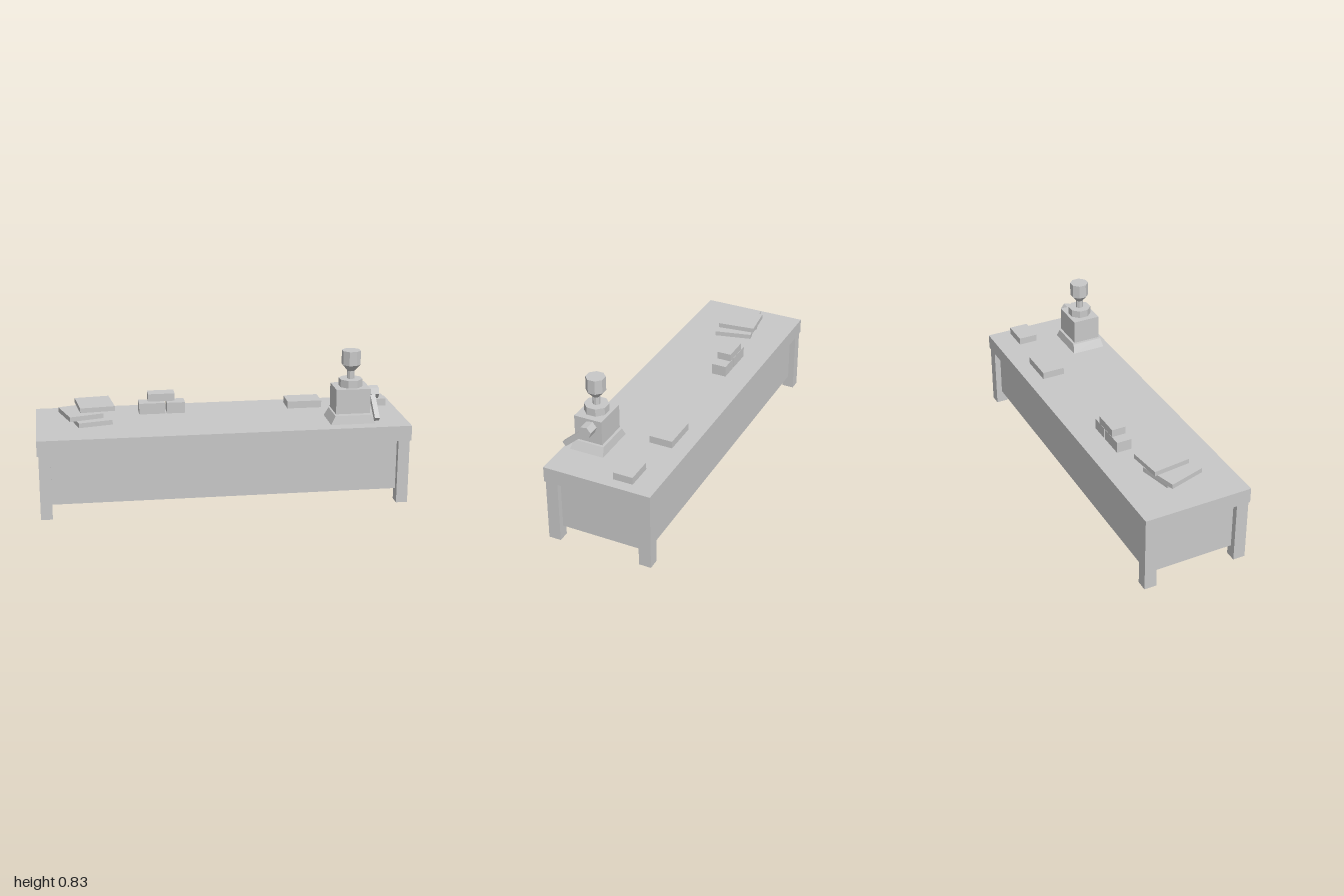
import * as THREE from 'three';

export function createModel() {
  const model = new THREE.Group();
  const grey = new THREE.MeshStandardMaterial({ color: 0xc8c8c8 });
  grey.name = 'plain grey';

  const add = (name, geometry, parent = model) => {
    const mesh = new THREE.Mesh(geometry, grey);
    mesh.name = name;
    parent.add(mesh);
    return mesh;
  };
  // Box given by its limits on each axis
  const block = (name, [x0, x1], [y0, y1], [z0, z1], parent) => {
    const mesh = add(name, new THREE.BoxGeometry(x1 - x0, y1 - y0, z1 - z0), parent);
    mesh.position.set((x0 + x1) / 2, (y0 + y1) / 2, (z0 + z1) / 2);
    return mesh;
  };
  const group = (name) => {
    const g = new THREE.Group();
    g.name = name;
    model.add(g);
    return g;
  };

  // Counter: top, closed cabinet reaching the middle of four corner legs
  block('tabletop', [-1, 1], [0.353, 0.437], [-0.297, 0.297]);
  block('cabinet', [-0.96, 0.96], [0.071, 0.353], [-0.259, 0.259]);
  for (const sx of [-1, 1]) {
    for (const sz of [-1, 1]) {
      const leg = add('leg', new THREE.BoxGeometry(0.062, 0.353, 0.067));
      leg.position.set(sx * 0.961, 0.1765, sz * 0.259);
    }
  }

  // Loose stack of sheets, each turned a little: x, bottom y, z, turn
  const stack = group('sheetStack');
  for (const [x, y, z, turn] of [
    [-0.706, 0.445, 0, 0.23],
    [-0.758, 0.479, -0.009, 0.28],
    [-0.681, 0.513, -0.041, 0.112],
  ]) {
    const sheet = add('sheet', new THREE.BoxGeometry(0.187, 0.026, 0.208), stack);
    sheet.position.set(x, y + 0.013, z);
    sheet.rotation.y = turn;
  }

  // Pile of three bricks
  const pile = group('brickPile');
  block('lowerBrickRight', [-0.436, -0.293], [0.445, 0.506], [-0.166, -0.083], pile);
  block('lowerBrickLeft', [-0.283, -0.183], [0.445, 0.506], [-0.166, -0.083], pile);
  block('upperBrick', [-0.386, -0.239], [0.514, 0.556], [-0.17, -0.092], pile);

  // Two flat blocks behind the machine
  block('wideBlock', [0.392, 0.584], [0.445, 0.485], [-0.212, -0.085]);
  block('smallBlock', [0.804, 0.95], [0.445, 0.485], [-0.178, -0.071]);

  // Grinder: sloped foot, square body, octagonal hopper
  const grinder = group('grinder');
  const cx = 0.688, cz = 0.157;
  const footGeo = new THREE.BoxGeometry(0.243, 0.046, 0.189);
  const p = footGeo.attributes.position;
  for (let i = 0; i < p.count; i++) {
    if (p.getY(i) > 0) p.setXYZ(i, p.getX(i) * 0.8, p.getY(i), p.getZ(i) * 0.91);
  }
  footGeo.computeVertexNormals();
  add('foot', footGeo, grinder).position.set(cx, 0.468, 0.157);
  block('body', [0.595, 0.782], [0.499, 0.634], [0.08, 0.235], grinder);

  // Octagons with flats toward the axes, sized across the flats
  const octagon = (name, bottom, top, y0, y1) => {
    const k = 1 / Math.cos(Math.PI / 8);
    const geo = new THREE.CylinderGeometry(top * k, bottom * k, y1 - y0, 8, 1, false, Math.PI / 8)
      .toNonIndexed();
    geo.computeVertexNormals();
    add(name, geo, grinder).position.set(cx, (y0 + y1) / 2, cz);
  };
  octagon('collar', 0.0595, 0.0595, 0.634, 0.676);
  octagon('neck', 0.0187, 0.0187, 0.676, 0.719);
  octagon('hopperCone', 0.0187, 0.0475, 0.719, 0.754);
  octagon('hopper', 0.0475, 0.0475, 0.754, 0.831);

  // Side lever: hexagonal hub with a slanted arm
  const hubGeo = new THREE.CylinderGeometry(0.035, 0.035, 0.063, 6, 1, false, 0.16).toNonIndexed();
  hubGeo.computeVertexNormals();
  const hub = add('leverHub', hubGeo, grinder);
  hub.rotation.z = -Math.PI / 2;
  hub.position.set(0.8125, 0.591, 0.142);
  const arm = add('leverArm', new THREE.BoxGeometry(0.027, 0.177, 0.028), grinder);
  arm.position.set(0.81, 0.533, 0.21);
  arm.rotation.x = -0.853;

  return model;
}
